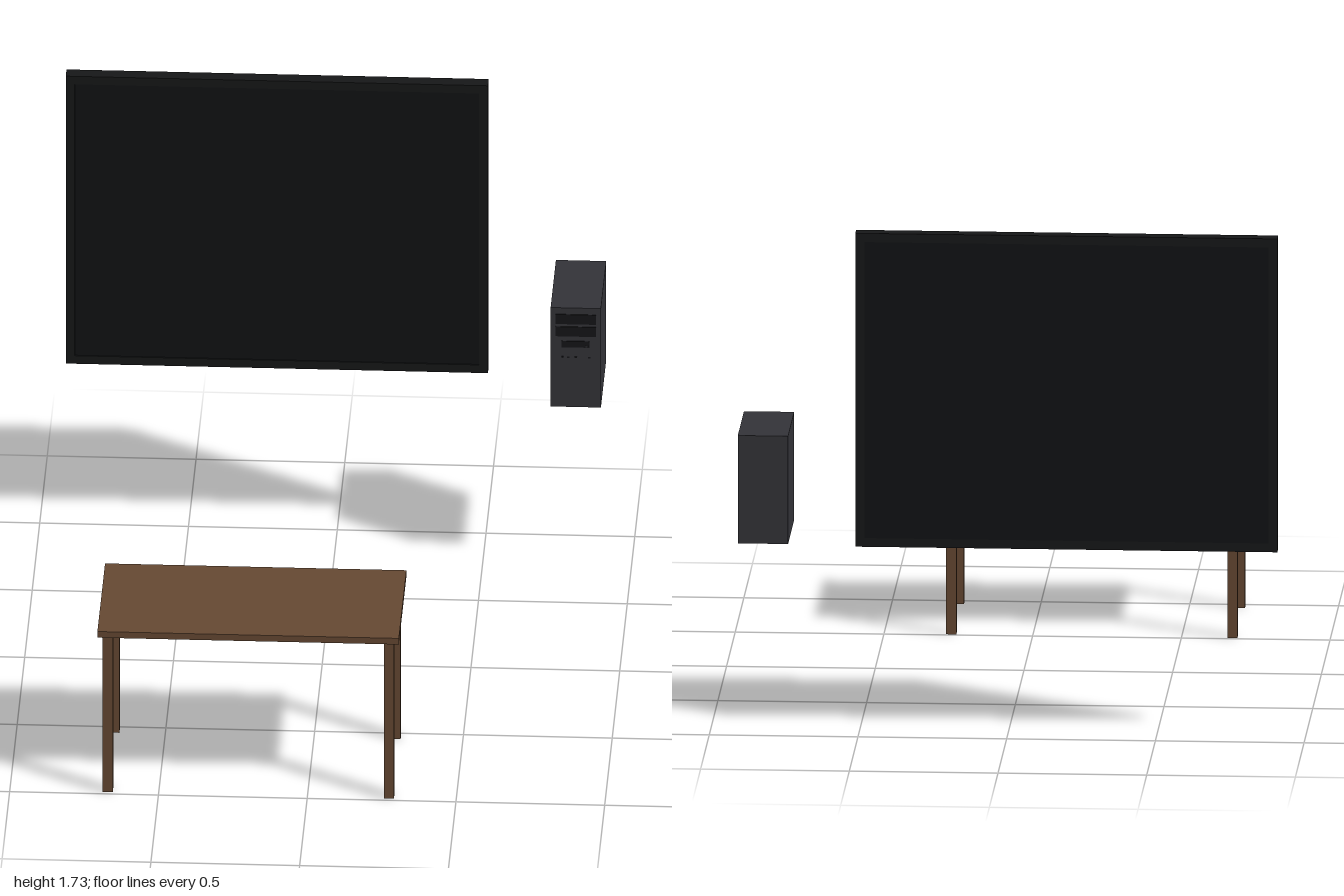
import * as THREE from 'three';

const material = (color) => new THREE.MeshStandardMaterial({ color });

// Box given by its [min, max] range on each axis
function box(parent, name, mat, [x0, x1], [y0, y1], [z0, z1]) {
  const mesh = new THREE.Mesh(new THREE.BoxGeometry(x1 - x0, y1 - y0, z1 - z0), mat);
  mesh.position.set((x0 + x1) / 2, (y0 + y1) / 2, (z0 + z1) / 2);
  mesh.name = name;
  parent.add(mesh);
  return mesh;
}

function part(parent, name) {
  const group = new THREE.Group();
  group.name = name;
  parent.add(group);
  return group;
}

export function createModel() {
  const model = new THREE.Group();
  model.name = 'deskWithScreenAndComputer';
  const wood = material(0x654832);
  const frameBlack = material(0x161718);
  const screenBlack = material(0x101214);
  const caseGrey = material(0x333338);
  const bayBlack = material(0x151517);

  // Table: thin top on four square legs
  const table = part(model, 'table');
  box(table, 'tableTop', wood, [-0.705, 0.308], [0.587, 0.61], [0.493, 1]);
  for (const x of [-0.688, 0.257]) {
    for (const z of [0.51, 0.952]) {
      box(table, 'tableLeg', wood, [x, x + 0.034], [0, 0.587], [z, z + 0.034]);
    }
  }

  // Screen: extruded frame around a slightly recessed panel
  const screen = part(model, 'screen');
  const [left, right, bottom, top, border] = [-0.908, 0.511, 0.647, 1.728, 0.03];
  const rectangle = (Type, inset) => new Type([
    new THREE.Vector2(left + inset, bottom + inset),
    new THREE.Vector2(right - inset, bottom + inset),
    new THREE.Vector2(right - inset, top - inset),
    new THREE.Vector2(left + inset, top - inset),
  ]);
  const outline = rectangle(THREE.Shape, 0);
  outline.holes.push(rectangle(THREE.Path, border));
  const frame = new THREE.Mesh(
    new THREE.ExtrudeGeometry(outline, { depth: 0.05, bevelEnabled: false }), frameBlack);
  frame.position.z = -0.962;
  frame.name = 'screenFrame';
  screen.add(frame);
  box(screen, 'screenPanel', screenBlack,
    [left + border, right - border], [bottom + border, top - border], [-0.962, -0.916]);

  // Computer tower with drive bays, button and ports on its front
  const tower = part(model, 'computerTower');
  const front = -0.646;
  box(tower, 'towerCase', caseGrey, [0.735, 0.904], [0.662, 1.034], [-1, front]);
  const onFront = (name, mat, x, y, depth = 0.003) =>
    box(tower, name, mat, x, y, [front - 0.002, front + depth]);
  onFront('driveBay', bayBlack, [0.751, 0.888], [0.974, 1.01]);
  onFront('driveBay', bayBlack, [0.751, 0.888], [0.928, 0.964]);
  onFront('smallDrive', bayBlack, [0.772, 0.866], [0.887, 0.91]);
  onFront('ejectButton', caseGrey, [0.852, 0.86], [0.89, 0.895], 0.005);
  for (const x of [0.775, 0.795, 0.82, 0.865]) {
    onFront('frontPort', bayBlack, [x - 0.004, x + 0.004], [0.847, 0.852]);
  }
  return model;
}
